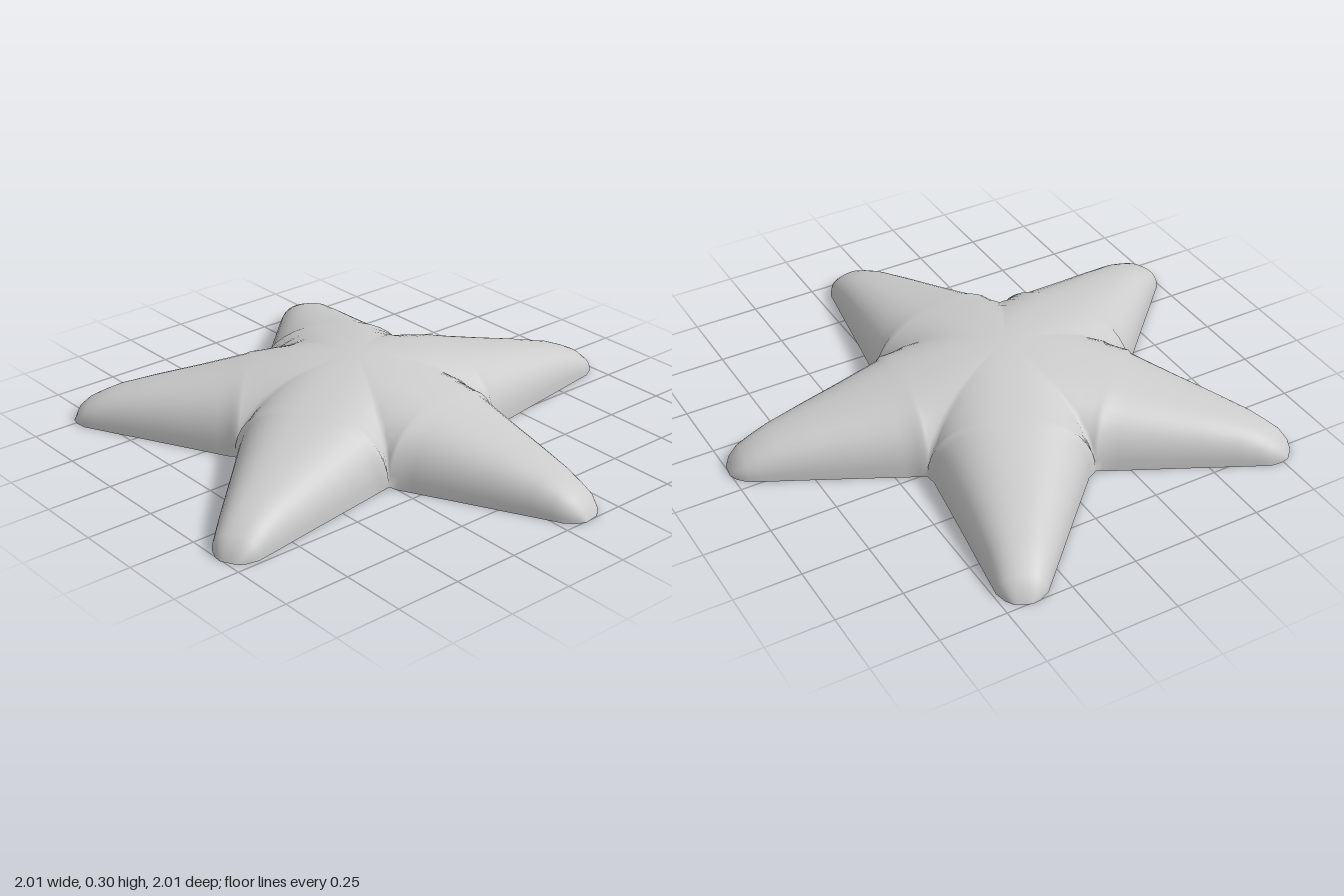
import * as THREE from 'three';
import { mergeVertices } from 'three/addons/utils/BufferGeometryUtils.js';

const ARMS = 5;
const HALF_WEDGE = Math.tan(Math.PI / ARMS);
const POWER = 2.4; // roundness of an arm's cross-section
const N = 10; // steps from ridge to edge

// Cross-sections along one arm: [distance from centre, ridge height, half width]
const STATIONS = [
  [0, 0.3, 0.415], [0.08, 0.298, 0.389], [0.16, 0.291, 0.363], [0.24, 0.28, 0.337],
  [0.32, 0.265, 0.311], [0.37, 0.255, 0.297], [0.395, 0.25, 0.296], [0.412, 0.246, 0.2995],
  [0.43, 0.242, 0.275], [0.48, 0.229, 0.259], [0.6, 0.2, 0.219], [0.75, 0.166, 0.17],
  [0.89, 0.13, 0.125], [0.96, 0.1, 0.102], [1.007, 0.075, 0.087], [1.043, 0.042, 0.058],
  [1.06, 0, 0.03],
];

// Open-bottomed star shell: each arm is lofted within its own wedge
function starGeometry() {
  const positions = [];
  const indices = [];
  const row = 2 * N + 1;
  for (let arm = 0; arm < ARMS; arm++) {
    const angle = THREE.MathUtils.degToRad(-9 + (360 / ARMS) * arm);
    const c = Math.cos(angle), s = Math.sin(angle);
    const base = positions.length / 3;
    STATIONS.forEach(([u, h, w], i) => {
      // Stop the section where it meets the neighbouring arm
      const reach = Math.min(1, (u * HALF_WEDGE) / w);
      const phiMax = Math.asin(Math.pow(reach, POWER / 2));
      for (let j = -N; j <= N; j++) {
        const phi = (phiMax * Math.abs(j)) / N;
        const v = Math.sign(j) * w * Math.pow(Math.sin(phi), 2 / POWER);
        const y = h * Math.pow(Math.max(0, Math.cos(phi)), 2 / POWER);
        positions.push(u * c - v * s, y, u * s + v * c);
        if (i > 0 && j < N) {
          const q = base + i * row + j + N;
          const p = q - row;
          indices.push(p, p + 1, q, p + 1, q + 1, q);
        }
      }
    });
  }
  const geometry = new THREE.BufferGeometry();
  geometry.setAttribute('position', new THREE.Float32BufferAttribute(positions, 3));
  geometry.setIndex(indices);
  // Weld the arms so the shading runs smoothly across the valleys
  const welded = mergeVertices(geometry, 1e-4);
  welded.computeVertexNormals();
  return welded;
}

export function createModel() {
  const group = new THREE.Group();
  group.name = 'starfish';
  const material = new THREE.MeshStandardMaterial({ color: 0xcccccc, side: THREE.DoubleSide });
  const shell = new THREE.Mesh(starGeometry(), material);
  shell.name = 'starShell';
  shell.position.set(-0.047, 0, 0.047);
  group.add(shell);
  return group;
}
